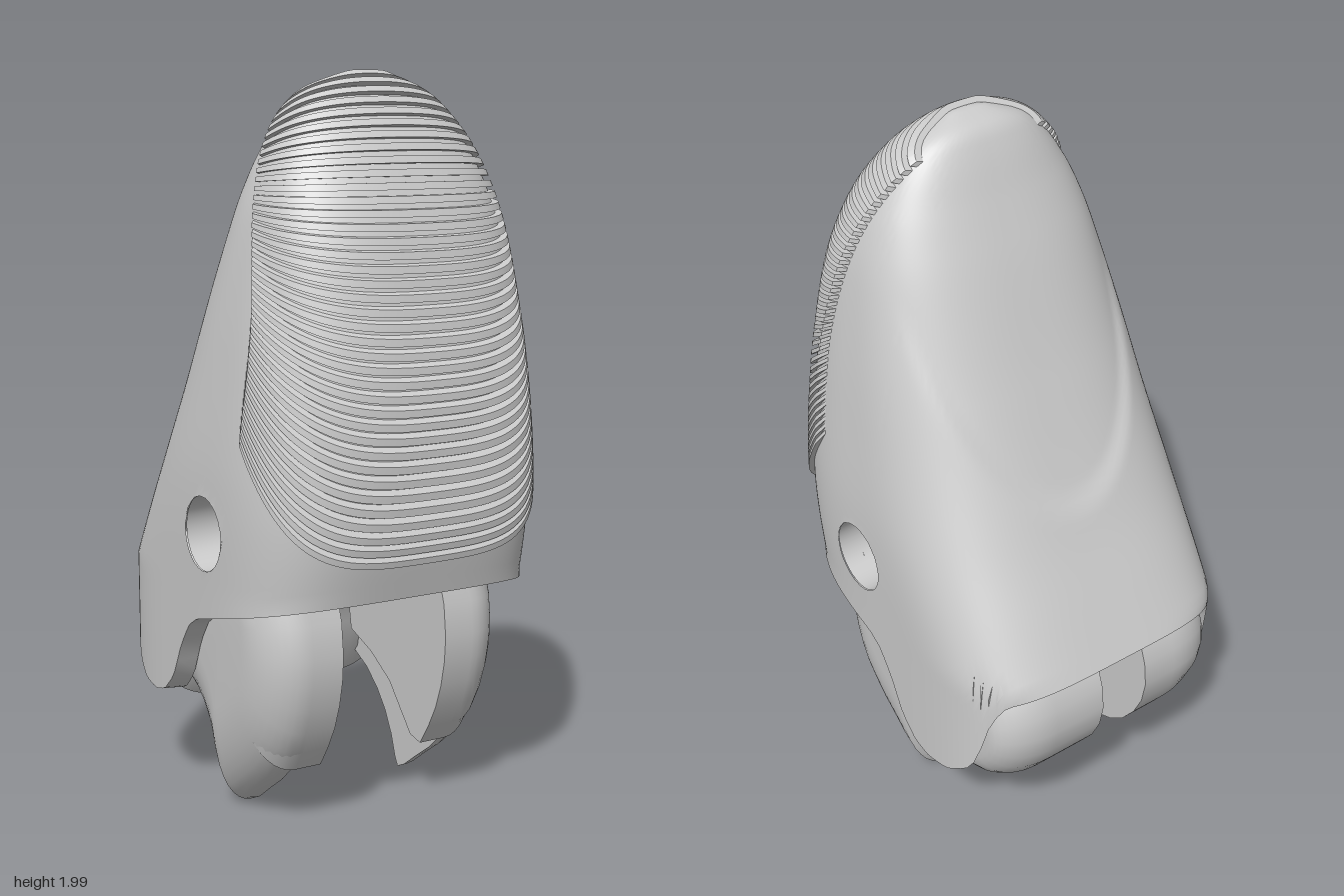
import * as THREE from 'three';
import { toCreasedNormals } from 'three/addons/utils/BufferGeometryUtils.js';

const { lerp, clamp, smoothstep, degToRad } = THREE.MathUtils;
const grey = new THREE.MeshStandardMaterial({ color: 0xcccccc });
const greyDouble = new THREE.MeshStandardMaterial({ color: 0xcccccc, side: THREE.DoubleSide });

// Interpolate a table of [key, value] rows (keys ascending), smooth or linear
function table(rows, smooth = true) {
  const slope = (i) => {
    const a = rows[Math.max(i - 1, 0)], b = rows[Math.min(i + 1, rows.length - 1)];
    return (b[1] - a[1]) / (b[0] - a[0]);
  };
  return (k) => {
    if (k <= rows[0][0]) return rows[0][1];
    if (k >= rows.at(-1)[0]) return rows.at(-1)[1];
    let i = 0;
    while (rows[i + 1][0] < k) i++;
    const [k0, v0] = rows[i], [k1, v1] = rows[i + 1];
    const h = k1 - k0, t = (k - k0) / h;
    if (!smooth) return lerp(v0, v1, t);
    const u = 1 - t;
    return v0 * (1 + 2 * t) * u * u + v1 * (3 - 2 * t) * t * t
      + h * t * u * (slope(i) * u - slope(i + 1) * t);
  };
}

// Outline of the fingertip by height
const front = table([[0.67, 0.46], [0.8, 0.49], [0.9, 0.505], [1.1, 0.513], [1.25, 0.505], [1.4, 0.483],
  [1.6, 0.437], [1.8, 0.35], [1.9, 0.28], [1.96, 0.22], [1.985, 0.18]]);
const back = table([[0.65, -0.53], [0.8, -0.45], [0.95, -0.37], [1.08, -0.308], [1.2, -0.254], [1.4, -0.168],
  [1.6, -0.078], [1.8, 0.012], [1.92, 0.066], [1.965, 0.1], [1.985, 0.15]]);
const width = table([[0.6, 0.44], [0.85, 0.44], [1, 0.434], [1.2, 0.413], [1.4, 0.387], [1.6, 0.352], [1.7, 0.325],
  [1.8, 0.282], [1.9, 0.212], [1.95, 0.148], [1.985, 0.05]]);
const power = table([[0.65, 4], [1.1, 3.1], [2, 2.4]]);
// Height of the lower rim by z, dipping into the two side flaps
const rim = table([[-0.53, 0.65], [-0.47, 0.62], [-0.44, 0.56], [-0.42, 0.48], [-0.405, 0.41], [-0.37, 0.355], [-0.3, 0.31],
  [-0.22, 0.3], [-0.16, 0.315], [-0.1, 0.37], [-0.05, 0.47], [0, 0.54], [0.05, 0.57], [0.46, 0.67]], false);

const HOLE = { y: 0.81, z: 0.09, r: 0.1 };

// Rounded-square section point at height y
function section(y, a, inset = 0) {
  const c = Math.cos(a), s = Math.sin(a), n = power(y);
  const r = (Math.abs(c) ** n + Math.abs(s) ** n) ** (-1 / n);
  const mid = (front(y) + back(y)) / 2, half = (front(y) - back(y)) / 2;
  return [(width(y) - inset) * r * c, y, mid + (half - inset) * r * s];
}

function isInside(x, y, z) {
  if (y > 1.985) return false;
  const n = power(y), mid = (front(y) + back(y)) / 2, half = (front(y) - back(y)) / 2;
  return Math.abs(x / width(y)) ** n + Math.abs((z - mid) / half) ** n < 1;
}

// Skin rows of points; an optional test marks points whose faces are cut away
function skin(rows, closed, crease, cut = () => false) {
  const pos = [];
  const tri = (...pts) => {
    if (pts.every(cut)) return;
    const [a, b, c] = pts.map((p) => {
      if (!cut(p)) return new THREE.Vector3(...p);
      const dy = p[1] - HOLE.y, dz = p[2] - HOLE.z, k = HOLE.r / Math.hypot(dy, dz);
      return new THREE.Vector3(p[0], HOLE.y + dy * k, HOLE.z + dz * k);
    });
    const area = b.clone().sub(a).cross(c.clone().sub(a)).length();
    if (area > 1e-9) pos.push(...a, ...b, ...c);
  };
  for (let i = 0; i + 1 < rows.length; i++) {
    const n = rows[i].length;
    for (let j = 0; j < (closed ? n : n - 1); j++) {
      const k = (j + 1) % n;
      tri(rows[i][j], rows[i + 1][j], rows[i][k]);
      tri(rows[i][k], rows[i + 1][j], rows[i + 1][k]);
    }
  }
  const g = new THREE.BufferGeometry();
  g.setAttribute('position', new THREE.Float32BufferAttribute(pos, 3));
  return toCreasedNormals(g, degToRad(crease));
}

// Hollow shell: cavity ceiling, cavity wall, rim, outer wall, crown
function shellGeometry() {
  const N = 160, angles = Array.from({ length: N }, (_, j) => (j / N) * Math.PI * 2);
  const bottom = angles.map((a) => rim(section(0.65, a)[2]));
  // The cavity stops short of the front, leaving a broad sloping underside there
  const cavity = (y, a) => {
    const [x, , z] = section(y, a, 0.06);
    return [x, y, Math.min(z, 0.18)];
  };
  const cavityBottom = angles.map((a, j) => (Math.sin(a) > 0 ? rim(cavity(0.65, a)[2]) : bottom[j]));
  const rows = [angles.map(() => [0, 1.02, 0])];
  for (let i = 0; i <= 24; i++) rows.push(angles.map((a, j) => cavity(lerp(1.02, cavityBottom[j], i / 24), a)));
  for (let i = 0; i <= 76; i++) {
    const t = 1 - (1 - i / 76) ** 1.4;
    rows.push(angles.map((a, j) => {
      const p = section(lerp(bottom[j], 1.985, t), a);
      // Shallow U-shaped recess on the back
      if (Math.sin(a) < 0) {
        const e = Math.hypot(p[0] / 0.34, Math.min(p[1] - 1.6, 0) / 0.59);
        p[2] += 0.014 * (1 - smoothstep(e, 0.88, 1)) * (1 - smoothstep(p[1], 1.35, 1.7));
      }
      return p;
    }));
  }
  rows.push(angles.map(() => [0, 1.99, 0.165]));
  const inHole = (p) => Math.abs(p[0]) > 0.3 && Math.hypot(p[1] - HOLE.y, p[2] - HOLE.z) < HOLE.r;
  return skin(rows, true, 35, inHole);
}

// Ribs run between the pad's side edge and its centre line, given as [z, y] curves
function ribGeometry() {
  const RIBS = 38, COLS = 72, rows = [];
  const spline = (pts) => new THREE.SplineCurve(pts.map((p) => new THREE.Vector2(...p)));
  const edge = spline([[0.25, 1.13], [0.25, 1.4], [0.19, 1.66], [0.1, 1.92]]);
  const ridge = spline([[0.485, 0.78], [0.513, 1.1], [0.483, 1.4], [0.437, 1.6], [0.35, 1.8], [0.25, 1.93], [0.16, 1.99]]);
  const row = (t, height) => {
    const from = edge.getPointAt(t), dir = ridge.getPointAt(t).sub(from);
    return Array.from({ length: COLS + 1 }, (_, j) => {
      const a = degToRad(lerp(89, -89, j / COLS)), c = Math.cos(a);
      const d = new THREE.Vector3(0.4 * Math.sin(a), dir.y * c, dir.x * c).normalize();
      let lo = 0, hi = 1.2;
      for (let k = 0; k < 18; k++) {
        const m = (lo + hi) / 2;
        if (isInside(d.x * m, from.y + d.y * m, from.x + d.z * m)) lo = m; else hi = m;
      }
      const r = lo - 0.008 + (height > 0 ? (height + 0.008) * clamp(c / 0.15, 0, 1) : 0);
      return [d.x * r, from.y + d.y * r, from.x + d.z * r];
    });
  };
  for (let i = 0; i < RIBS; i++) {
    const t0 = i / RIBS, t1 = (i + 0.55) / RIBS;
    rows.push(row(t0, 0), row(t0, 0.018), row(t1, 0.018), row(t1, 0));
  }
  return skin(rows, false, 35);
}

// Side profile of [z, y] points carried outward along x and rounded off at the outer face
function lobeGeometry(profile, center, inner, outer, round, side) {
  const pts = side > 0 ? [...profile].reverse() : profile;
  const ring = (x, s) => pts.map(([z, y]) => [side * x, lerp(center[1], y, s), lerp(center[0], z, s)]);
  const rows = [ring(inner, 0), ring(inner, 1)];
  for (let k = 0; k <= 10; k++) {
    const a = (k / 10) * Math.PI / 2;
    rows.push(ring(outer - round + round * Math.sin(a), 0.45 + 0.55 * Math.cos(a)));
  }
  rows.push(ring(outer, 0));
  return skin(rows, true, 32);
}

const CLAW = [[0.3, 0.68], [0.33, 0.59], [0.34, 0.5], [0.335, 0.43], [0.32, 0.36], [0.295, 0.29], [0.26, 0.225], [0.21, 0.17],
  [0.15, 0.115], [0.08, 0.065], [0.02, 0.02], [-0.015, 0.003], [-0.03, 0.03], [-0.05, 0.09], [-0.085, 0.155], [-0.13, 0.21],
  [-0.19, 0.26], [-0.26, 0.295], [-0.28, 0.4], [-0.25, 0.68]];
const CHEEK = [[0.3, 0.68], [0.33, 0.59], [0.34, 0.5], [0.335, 0.43], [0.32, 0.36], [0.295, 0.29], [0.26, 0.225], [0.22, 0.165],
  [0.17, 0.175], [0.13, 0.22], [0.06, 0.3], [-0.04, 0.36], [-0.15, 0.4], [-0.2, 0.68]];
const HEEL = [[-0.1, 0.69], [-0.13, 0.6], [-0.18, 0.5], [-0.22, 0.4], [-0.24, 0.31], [-0.31, 0.22], [-0.37, 0.245], [-0.42, 0.285],
  [-0.465, 0.345], [-0.495, 0.41], [-0.508, 0.48], [-0.5, 0.55], [-0.475, 0.62], [-0.42, 0.69]];

export function createModel() {
  const model = new THREE.Group();
  const add = (name, geometry, material = grey) => {
    const mesh = new THREE.Mesh(geometry, material);
    mesh.name = name;
    model.add(mesh);
    return mesh;
  };
  add('fingertipShell', shellGeometry());
  add('ribbedPad', ribGeometry());

  for (const side of [1, -1]) {
    const tag = side > 0 ? 'left' : 'right';
    add(`${tag}Claw`, lobeGeometry(CLAW, [0.05, 0.55], 0.238, 0.378, 0.13, side));
    add(`${tag}Cheek`, lobeGeometry(CHEEK, [0.07, 0.52], 0.16, 0.37, 0.13, side));
    add(`${tag}Heel`, lobeGeometry(HEEL, [-0.33, 0.48], side > 0 ? 0.05 : 0.1, 0.375, 0.17, side));
    // Stepped bore for the hinge pin
    const bore = [[0.1, 0.437], [0.1, 0.33], [0.05, 0.33], [0.05, 0]].map((p) => new THREE.Vector2(...p));
    const sleeve = add(`${tag}PinBore`, toCreasedNormals(new THREE.LatheGeometry(bore, 40), 0.6), greyDouble);
    sleeve.rotation.z = -side * Math.PI / 2;
    sleeve.position.set(0, HOLE.y, HOLE.z);
  }
  return model;
}
